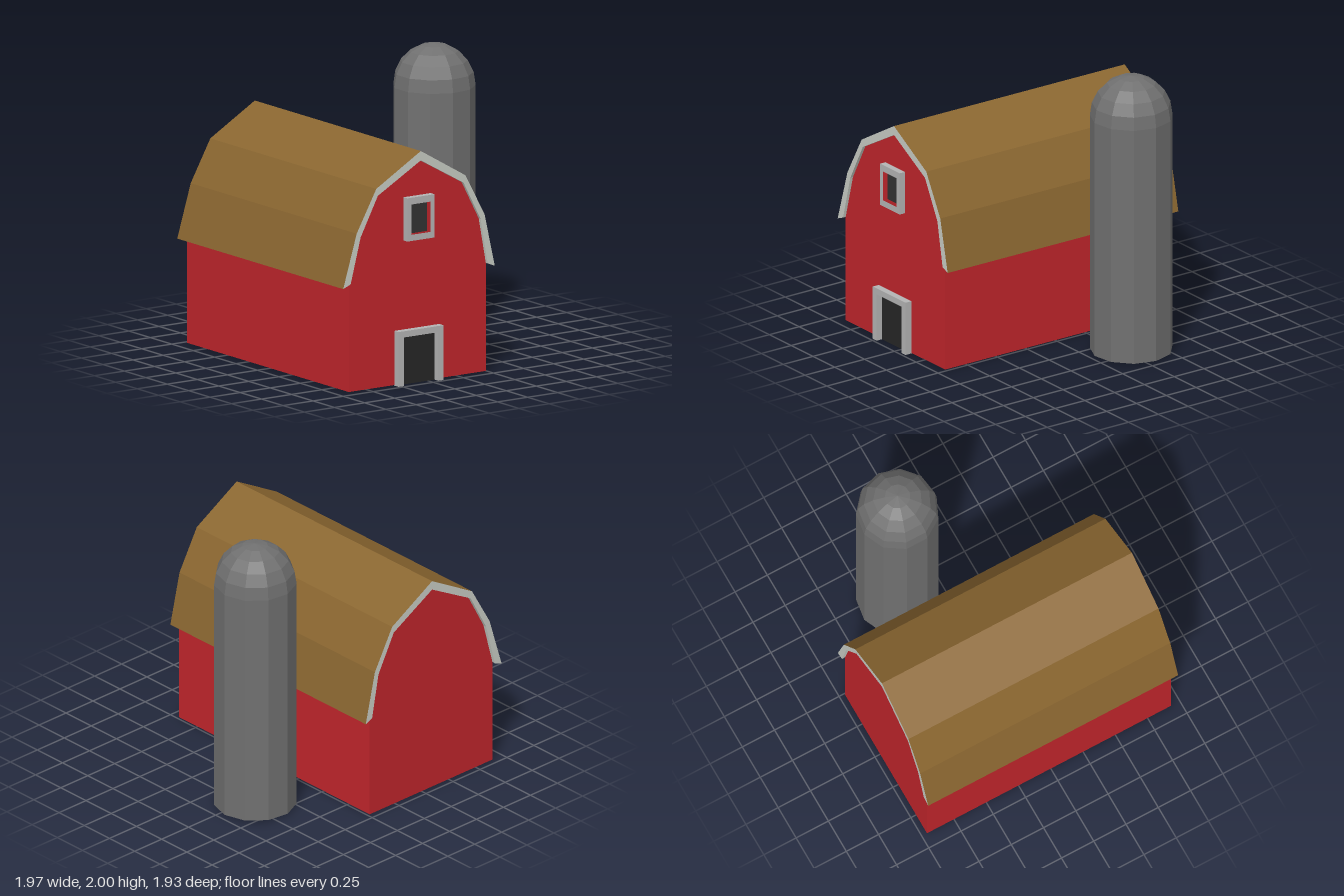
import * as THREE from 'three';

const mat = (color, side = THREE.FrontSide) =>
  new THREE.MeshStandardMaterial({ color, side, flatShading: true });

function add(parent, name, geometry, material) {
  const mesh = new THREE.Mesh(geometry, material);
  mesh.name = name;
  parent.add(mesh);
  return mesh;
}

// Outlines are [z, y] pairs; local shape x is -z so that extrusion runs along +x
const toPoints = (outline) => outline.map(([z, y]) => new THREE.Vector2(-z, y));

function extrudeX(outline, x0, x1, hole) {
  const shape = new THREE.Shape(toPoints(outline));
  if (hole) shape.holes.push(new THREE.Path(toPoints(hole)));
  return new THREE.ExtrudeGeometry(shape, { depth: x1 - x0, bevelEnabled: false })
    .rotateY(Math.PI / 2).translate(x0, 0, 0);
}

// Strip of quads following an outline, from x0 to x1
function ribbon(outline, x0, x1) {
  const pos = [];
  for (let i = 0; i < outline.length - 1; i++) {
    const [za, ya] = outline[i], [zb, yb] = outline[i + 1];
    pos.push(x0, ya, za, x1, ya, za, x1, yb, zb, x0, ya, za, x1, yb, zb, x0, yb, zb);
  }
  const g = new THREE.BufferGeometry();
  g.setAttribute('position', new THREE.Float32BufferAttribute(pos, 3));
  g.computeVertexNormals();
  return g;
}

const rect = (z0, z1, y0, y1) => [[z0, y0], [z1, y0], [z1, y1], [z0, y1]];

export function createModel() {
  const model = new THREE.Group();
  model.name = 'barnWithSilo';
  const red = mat(0xc0252b), brown = mat(0x8a6630), trim = mat(0xc8ccc4, THREE.DoubleSide);
  const frameGrey = mat(0xb4b4b4), doorDark = mat(0x262626), windowDark = mat(0x333333);
  const siloGrey = mat(0x707070);

  // Barn body with gambrel gables
  const inner = [[0.903, 0.755], [0.82, 1.07], [0.677, 1.34], [0.32, 1.54],
    [-0.035, 1.34], [-0.177, 1.07], [-0.236, 0.755]];
  const body = [[0.903, 0.004], ...inner, [-0.236, 0.004]];
  add(model, 'barnBody', extrudeX(body, -0.96, 0.93), red);

  // Roof: brown top, pale underside and gable edges
  const outer = [[0.965, 0.73], [0.853, 1.1], [0.69, 1.39], [0.32, 1.605],
    [-0.05, 1.39], [-0.21, 1.1], [-0.295, 0.73]];
  const roof = new THREE.Group();
  roof.name = 'roof';
  model.add(roof);
  const x0 = -0.985, x1 = 0.952;
  const under = [...inner].reverse();
  add(roof, 'roofTop', ribbon(outer, x0, x1), brown);
  add(roof, 'roofUnderside', ribbon([outer[6], ...under, outer[0]], x0, x1), trim);
  for (const [name, x] of [['leftRoofEdge', x1], ['rightRoofEdge', x0]]) {
    const edge = new THREE.ShapeGeometry(new THREE.Shape(toPoints([...outer, ...under])));
    add(roof, name, edge.rotateY(Math.PI / 2).translate(x, 0, 0), trim);
  }

  // Door: open-bottomed frame around a dark block
  const doorFrame = [[0.525, 0], [0.525, 0.38], [0.15, 0.38], [0.15, 0],
    [0.195, 0], [0.195, 0.337], [0.48, 0.337], [0.48, 0]];
  add(model, 'doorFrame', extrudeX(doorFrame, 0.925, 0.98), frameGrey);
  add(model, 'doorway', extrudeX(rect(0.195, 0.48, 0, 0.337), 0.6, 0.936), doorDark);

  // Loft window
  const pane = rect(0.257, 0.415, 1.04, 1.25);
  add(model, 'windowFrame', extrudeX(rect(0.223, 0.447, 0.997, 1.297), 0.925, 0.975, pane), frameGrey);
  add(model, 'windowPane', extrudeX(pane, 0.9, 0.936), windowDark);

  // Silo: eleven-sided, capped by a dome
  const r = 0.283, top = 1.705, rings = 5;
  const profile = [new THREE.Vector2(0, 0.012), new THREE.Vector2(r, 0.012)];
  for (let i = 0; i <= rings; i++) {
    const a = (i / rings) * Math.PI / 2;
    profile.push(new THREE.Vector2(i === rings ? 0 : r * Math.cos(a), top + 0.295 * Math.sin(a)));
  }
  const silo = add(model, 'silo', new THREE.LatheGeometry(profile, 11, Math.PI), siloGrey);
  silo.position.set(-0.305, 0, -0.685);

  return model;
}
